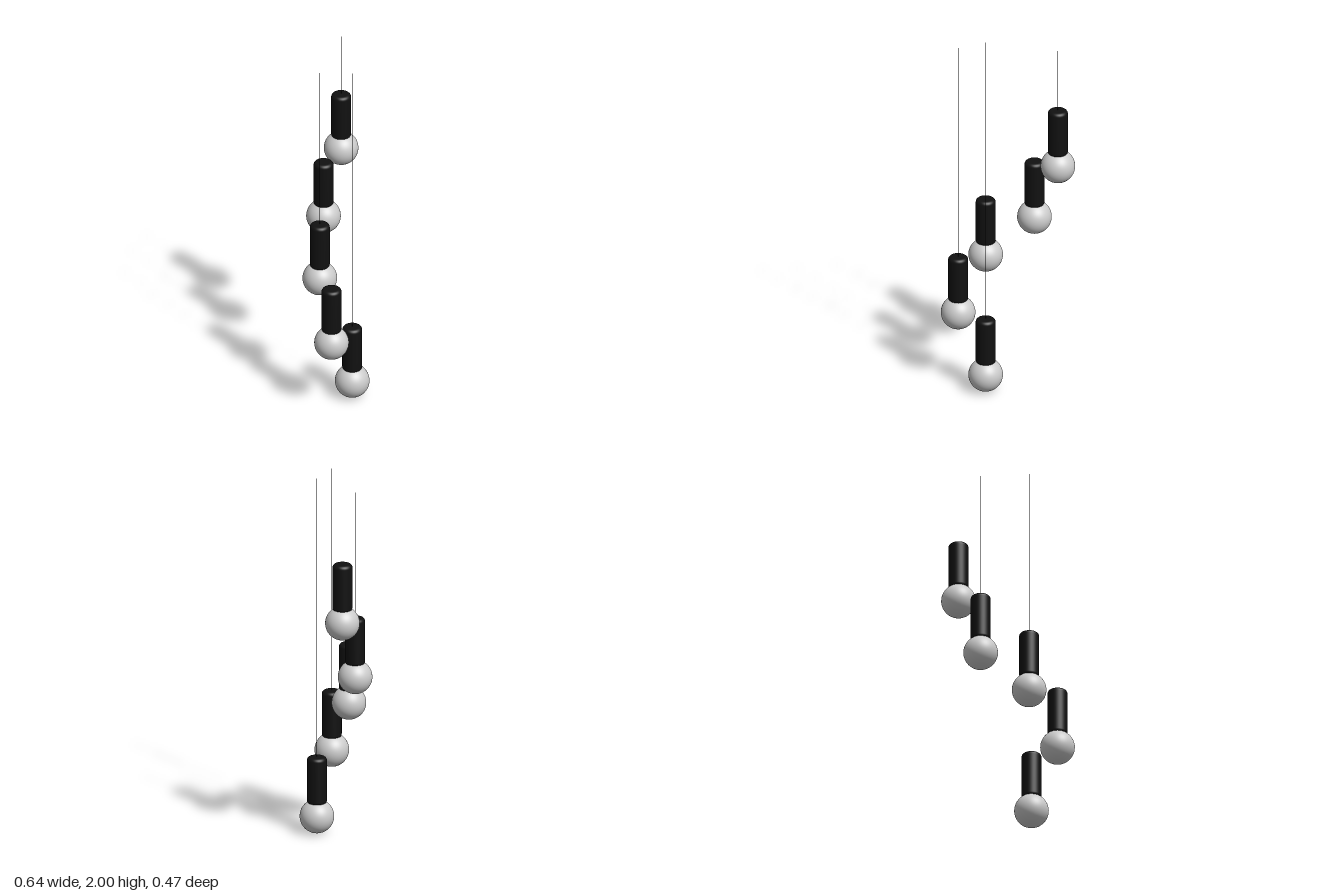
import * as THREE from 'three';

const BULB_R = 0.0925, SOCKET_R = 0.0535, TOP = 2;

// x, z and height of each globe's centre
const PENDANTS = [
  [-0.227, 0.141, 0.415],
  [-0.046, 0.141, 0.095],
  [-0.147, 0, 0.727],
  [0.071, -0.143, 0.96],
  [0.225, -0.143, 1.31],
];

// Cylinder profile with rounded top and bottom rims
function socketGeometry(y0, y1, r, bevel) {
  const pts = [new THREE.Vector2(0, y0)];
  for (const [cy, start] of [[y0 + bevel, -Math.PI / 2], [y1 - bevel, 0]]) {
    for (let i = 0; i <= 6; i++) {
      const a = start + (i / 6) * Math.PI / 2;
      pts.push(new THREE.Vector2(r - bevel + bevel * Math.cos(a), cy + bevel * Math.sin(a)));
    }
  }
  pts.push(new THREE.Vector2(0, y1));
  return new THREE.LatheGeometry(pts, 40);
}

export function createModel() {
  const model = new THREE.Group();
  model.name = 'pendantLampCluster';
  const glass = new THREE.MeshStandardMaterial({ color: 0xcccccc });
  const black = new THREE.MeshStandardMaterial({ color: 0x111111 });

  const bulbGeo = new THREE.SphereGeometry(BULB_R, 48, 32);
  const socketGeo = socketGeometry(0.07, 0.335, SOCKET_R, 0.02);

  PENDANTS.forEach(([x, z, y], i) => {
    const pendant = new THREE.Group();
    pendant.name = `pendant${i + 1}`;
    pendant.position.set(x, y, z);

    const add = (name, geo, mat) => {
      const mesh = new THREE.Mesh(geo, mat);
      mesh.name = name;
      pendant.add(mesh);
      return mesh;
    };
    add('globe', bulbGeo, glass);
    add('socket', socketGeo, black);

    // Thin cord from the socket up to the shared ceiling height
    const length = TOP - y - 0.33;
    add('cord', new THREE.CylinderGeometry(0.001, 0.001, length, 8), black).position.y = 0.33 + length / 2;

    model.add(pendant);
  });
  return model;
}
